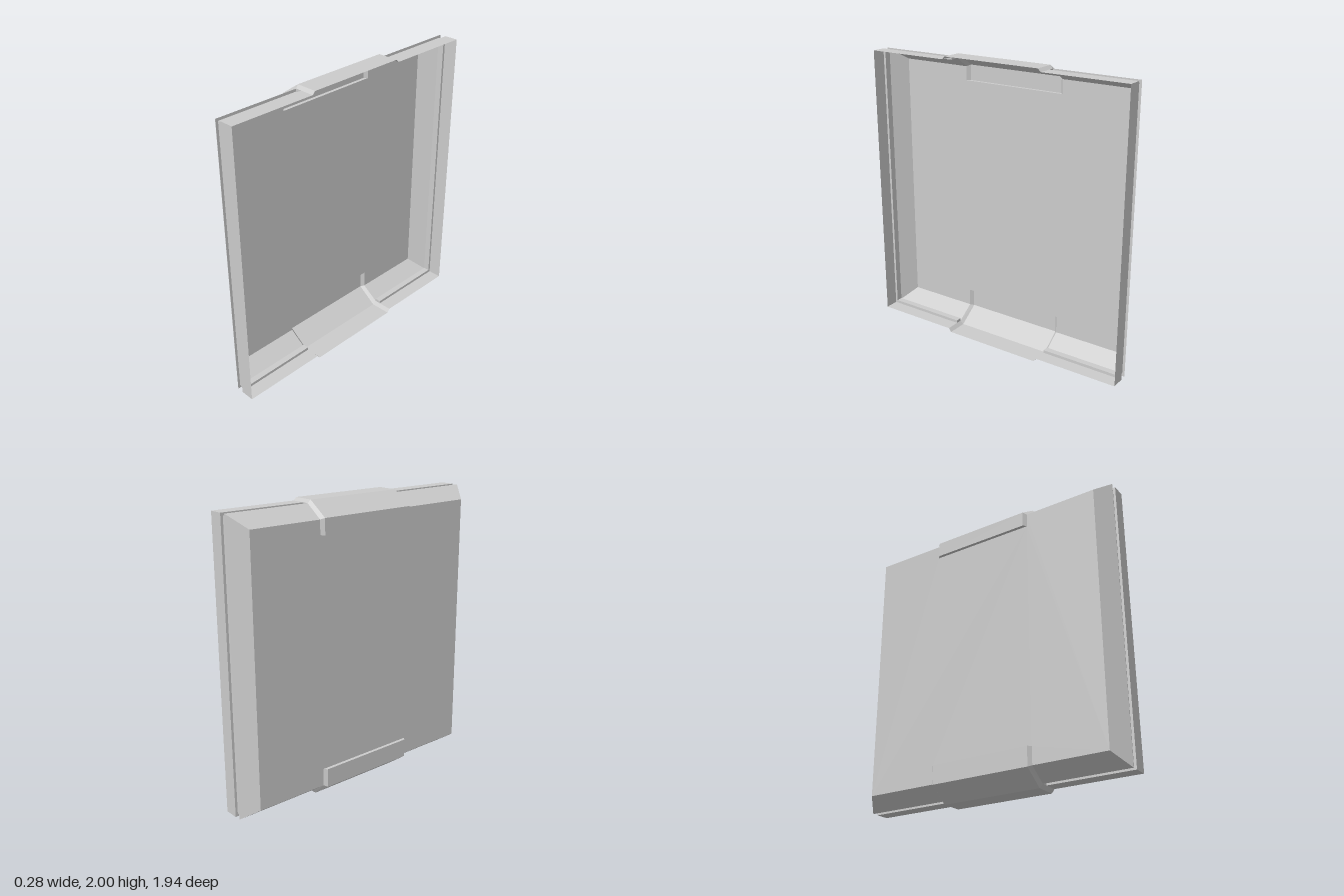
import * as THREE from 'three';

const material = new THREE.MeshStandardMaterial({ color: 0xcccccc, flatShading: true, side: THREE.DoubleSide });
const X_FRONT = 0.14, X_BACK = -0.12;   // open rim and closed back of the tray
const W = 0.375, W_OUT = 0.355;         // half width of a clip at its foot and at its raised face
const TAB_TOP = 1.8, TAB_BOTTOM = 0.23; // where the clip tabs end on the back panel

// Mesh from a list of four-cornered faces
function quadMesh(name, quads) {
  const positions = [];
  for (const [a, b, c, d] of quads) positions.push(...a, ...b, ...c, ...a, ...c, ...d);
  const geometry = new THREE.BufferGeometry();
  geometry.setAttribute('position', new THREE.Float32BufferAttribute(positions, 3));
  geometry.computeVertexNormals();
  const mesh = new THREE.Mesh(geometry, material);
  mesh.name = name;
  return mesh;
}

// Perimeter of the tray at one depth, with stops where the clips interrupt it
function perimeter([x, hz, y0, y1]) {
  return [[hz, y0], [hz, y1], [W, y1], [-W, y1], [-hz, y1], [-hz, y0], [-W, y0], [W, y0]]
    .map(([z, y]) => [x, y, z]);
}

// Band of wall between two stations, open at the clips
function wallBand(name, from, to) {
  const a = perimeter(from), b = perimeter(to), quads = [];
  for (let i = 0; i < 8; i++) {
    if (i === 2 || i === 6) continue;
    const j = (i + 1) % 8;
    quads.push([a[i], a[j], b[j], b[i]]);
  }
  return quadMesh(name, quads);
}

// Raised strip bent over the edge, with sloped sides down to the tray
function clip(name, raised, foot, groove, flip) {
  const quads = [];
  const add = (q, reverse) => quads.push(reverse ? q.reverse() : q);
  const at = ([x, y], z) => [x, y, z];
  for (let i = 0; i < 3; i++) {
    const p = raised[i], q = raised[i + 1];
    add([at(p, W_OUT), at(p, -W_OUT), at(q, -W_OUT), at(q, W_OUT)], flip);
    for (const s of [1, -1]) {
      add([at(p, s * W_OUT), at(q, s * W_OUT), at(foot[i + 1], s * W), at(foot[i], s * W)], flip !== (s < 0));
    }
  }
  // Ledge at the end of the tab
  add([at(raised[3], W_OUT), at(raised[3], -W_OUT), at(foot[3], -W), at(foot[3], W)], flip);
  // Caps where the groove runs into the clip
  for (const s of [1, -1]) {
    add(groove.map((p) => at(p, s * W)), flip !== (s < 0));
  }
  return quadMesh(name, quads);
}

export function createModel() {
  const model = new THREE.Group();
  model.name = 'tray';

  // Stations from rim to back: x, half depth in z, bottom y, top y
  const rim = [X_FRONT, 0.97, 0.025, 1.98];
  const rimEnd = [0.043, 0.97, 0.025, 1.98];
  const grooveFront = [0.043, 0.953, 0.045, 1.962];
  const grooveBack = [0, 0.953, 0.045, 1.962];
  const bevelStart = [0, 0.97, 0.025, 1.98];
  const bevelEnd = [X_BACK, 0.885, 0.11, 1.895];
  const stations = [rim, rimEnd, grooveFront, grooveBack, bevelStart, bevelEnd];
  const names = ['rimWall', 'grooveFrontLip', 'grooveFloor', 'grooveBackLip', 'bevelWall'];
  names.forEach((name, i) => model.add(wallBand(name, stations[i], stations[i + 1])));

  // Back panel, notched where the clip tabs sit
  const [, hz, y0, y1] = bevelEnd;
  const outline = [
    [-hz, y0], [-W, y0], [-W, TAB_BOTTOM], [W, TAB_BOTTOM], [W, y0], [hz, y0],
    [hz, y1], [W, y1], [W, TAB_TOP], [-W, TAB_TOP], [-W, y1], [-hz, y1],
  ].map(([z, y]) => new THREE.Vector2(z, y));
  const panelGeometry = new THREE.ShapeGeometry(new THREE.Shape(outline));
  panelGeometry.rotateY(-Math.PI / 2).translate(X_BACK, 0, 0);
  const panel = new THREE.Mesh(panelGeometry, material);
  panel.name = 'backPanel';
  model.add(panel);

  // Top and bottom clips
  model.add(clip('topClip',
    [[X_FRONT, 2], [-0.006, 2], [-0.143, 1.905], [-0.143, TAB_TOP]],
    [[X_FRONT, 1.98], [0, 1.98], [X_BACK, y1], [X_BACK, TAB_TOP]],
    [[0.043, 1.98], [0, 1.98], [0, 1.962], [0.043, 1.962]], false));
  model.add(clip('bottomClip',
    [[X_FRONT, 0], [-0.006, 0], [-0.143, 0.1], [-0.143, TAB_BOTTOM]],
    [[X_FRONT, 0.025], [0, 0.025], [X_BACK, y0], [X_BACK, TAB_BOTTOM]],
    [[0.043, 0.025], [0, 0.025], [0, 0.045], [0.043, 0.045]], true));

  return model;
}
